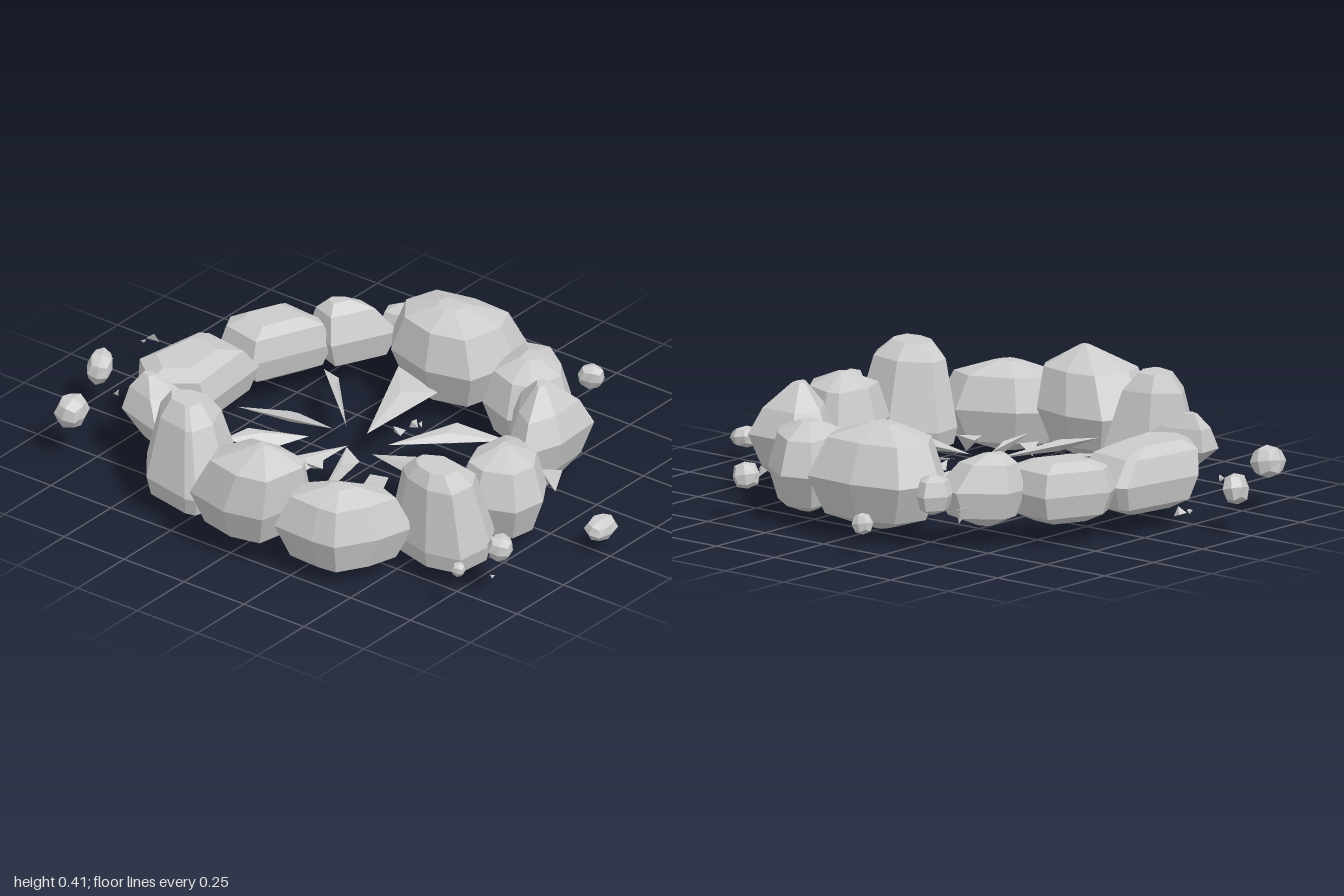
import * as THREE from 'three';
import { ConvexGeometry } from 'three/addons/geometries/ConvexGeometry.js';

const material = new THREE.MeshStandardMaterial({ color: 0xcccccc, flatShading: true, side: THREE.DoubleSide });

function addHull(group, name, points) {
  const mesh = new THREE.Mesh(new ConvexGeometry(points), material);
  mesh.name = name;
  group.add(mesh);
}

// Boulder: plan outline [x, z, x, z, ...] at its widest height, narrowing to a shoulder and cap above and below
function boulder(group, outline, yMin, yMax, o = {}) {
  const { mid = (yMin + yMax) / 2, top = [0.76, 0.2], bottom = [0.76, 0.2], lift = 0.74 } = o;
  const n = outline.length / 2;
  let cx = 0, cz = 0;
  for (let i = 0; i < n; i++) { cx += outline[2 * i] / n; cz += outline[2 * i + 1] / n; }
  const [px, pz] = o.peak ?? [cx, cz];
  const [fx, fz] = o.foot ?? [cx, cz];
  const points = [];
  const ring = (scale, y, x, z) => {
    for (let i = 0; i < n; i++) {
      points.push(new THREE.Vector3(x + (outline[2 * i] - cx) * scale, y, z + (outline[2 * i + 1] - cz) * scale));
    }
  };
  const lerp = THREE.MathUtils.lerp;
  ring(1, mid, cx, cz);
  ring(top[0], lerp(mid, yMax, lift), lerp(cx, px, 0.6), lerp(cz, pz, 0.6));
  ring(top[1], yMax, px, pz);
  ring(bottom[0], lerp(mid, yMin, lift), lerp(cx, fx, 0.6), lerp(cz, fz, 0.6));
  ring(bottom[1], yMin, fx, fz);
  addHull(group, 'boulder', points);
}

// Pebble: a cube with split faces, rounded towards a ball and stretched
function pebble(group, x, y, z, rx, ry, rz, yaw) {
  const geometry = new THREE.BoxGeometry(2, 2, 2, 2, 2, 2).toNonIndexed();
  const p = geometry.attributes.position;
  const v = new THREE.Vector3();
  for (let i = 0; i < p.count; i++) {
    v.fromBufferAttribute(p, i);
    v.multiplyScalar([1, 1, 0.78, 0.6][Math.round(v.lengthSq())]);
    p.setXYZ(i, v.x * rx, v.y * ry, v.z * rz);
  }
  geometry.computeVertexNormals();
  const mesh = new THREE.Mesh(geometry, material);
  mesh.name = 'pebble';
  mesh.position.set(x, y, z);
  mesh.rotation.set(0.2, yaw, 0.15);
  group.add(mesh);
}

export function createModel() {
  const model = new THREE.Group();
  model.name = 'rockRing';
  const ring = new THREE.Group();
  ring.name = 'boulderRing';
  const spikes = new THREE.Group();
  spikes.name = 'innerSpikes';
  const debris = new THREE.Group();
  debris.name = 'debris';
  model.add(ring, spikes, debris);

  // Ring, clockwise in plan from the +x side
  boulder(ring, [.51, -.30, .66, -.25, .70, -.07, .69, .12, .56, .18, .37, .13, .33, -.03, .38, -.21], .03, .375, { peak: [.5, -.05] });
  boulder(ring, [.28, .35, .33, .21, .46, .17, .62, .16, .65, .27, .56, .40, .47, .47, .31, .43], .02, .32);
  boulder(ring, [.06, .59, .13, .48, .29, .37, .39, .44, .39, .63, .20, .64], 0, .38,
    { mid: .21, top: [.72, .16], bottom: [.74, .14], peak: [.25, .52], lift: .52 });
  boulder(ring, [-.26, .64, -.23, .54, -.10, .49, .06, .52, .07, .58, .02, .72, -.09, .79, -.21, .77], .01, .335,
    { top: [.76, .12], bottom: [.72, .1] });
  boulder(ring, [-.53, .64, -.49, .49, -.42, .41, -.31, .40, -.23, .55, -.26, .72, -.36, .78, -.50, .765], .05, .39,
    { mid: .12, top: [.7, .4], bottom: [.92, .75], peak: [-.42, .6], lift: .82 });
  boulder(ring, [-.77, .35, -.76, .19, -.63, .155, -.53, .25, -.445, .44, -.49, .56, -.63, .52, -.76, .44], .02, .32);
  boulder(ring, [-.83, .03, -.79, -.14, -.68, -.18, -.53, -.12, -.51, .02, -.54, .17, -.60, .21, -.80, .17], .03, .405,
    { mid: .2, top: [.78, .08], peak: [-.68, .08], lift: .66 });
  boulder(ring, [-.74, -.20, -.70, -.39, -.57, -.49, -.465, -.37, -.435, -.20, -.60, -.125, -.73, -.16], .05, .395,
    { mid: .13, top: [.64, .36], bottom: [.9, .6], peak: [-.57, -.32], lift: .78 });
  boulder(ring, [-.545, -.47, -.48, -.665, -.39, -.67, -.335, -.51, -.34, -.42, -.41, -.385], .08, .325,
    { top: [.6, .16], bottom: [.6, .12], peak: [-.41, -.6], foot: [-.46, -.46], lift: .6 });
  boulder(ring, [-.36, -.63, -.235, -.785, .07, -.735, .09, -.70, .06, -.51, -.25, -.485], .065, .285,
    { top: [.86, .5], bottom: [.84, .5], peak: [-.17, -.64] });
  boulder(ring, [.05, -.53, .085, -.70, .15, -.73, .365, -.63, .35, -.46, .32, -.41], .075, .28,
    { top: [.86, .5], bottom: [.84, .5] });
  boulder(ring, [.29, -.39, .34, -.525, .43, -.525, .535, -.39, .51, -.28], .07, .31,
    { top: [.65, .25], peak: [.39, -.44] });
  boulder(ring, [.51, -.36, .57, -.385, .64, -.34, .63, -.30, .58, -.26, .525, -.28], .12, .25);

  // Thin spikes around the centre: corners x, y, z, thickened slightly at the middle
  const spikeCorners = [
    [[-.06, .13, -.11], [-.15, .14, -.44], [-.06, .14, -.25]],
    [[-.15, .13, -.14], [-.37, .15, -.33], [-.27, .16, -.30], [-.28, .12, -.20]],
    [[-.12, .13, 0], [-.48, .16, -.15], [-.56, .12, -.02]],
    [[-.49, .13, .155], [-.16, .15, .025], [-.155, .11, .075]],
    [[-.12, .13, .10], [-.19, .13, .46], [-.07, .15, .25]],
    [[-.04, .13, .10], [.23, .13, .40], [.18, .16, .22], [.09, .12, .22]],
    [[-.02, .13, 0], [.38, .15, -.18], [.36, .12, 0]],
    [[-.02, .13, -.085], [.20, .16, -.35], [.24, .12, -.32]],
  ];
  for (const corners of spikeCorners) {
    const points = corners.map((c) => new THREE.Vector3(...c));
    const middle = new THREE.Vector3();
    points.forEach((p) => middle.addScaledVector(p, 1 / points.length));
    points.push(middle.clone().setY(middle.y + .02), middle.clone().setY(middle.y - .02));
    addHull(spikes, 'spike', points);
  }

  // Loose pebbles outside the ring
  pebble(debris, .80, .11, -.21, .03, .036, .036, .2);
  pebble(debris, .695, .165, .38, .033, .045, .045, .6);
  pebble(debris, .015, .085, .95, .058, .036, .045, -.1);
  pebble(debris, -.455, .195, .895, .045, .043, .043, .5);
  pebble(debris, -.615, .165, .845, .023, .024, .023, .4);
  pebble(debris, -.548, .17, -.82, .06, .055, .052, .1);
  pebble(debris, -.23, .155, -.95, .064, .052, .043, .5);

  // Splinters: x, y, z, size
  const splinters = [
    [.115, .13, .665, .055], [-.27, .13, .23, .055], [-.30, .14, .005, .045], [.53, .13, -.41, .045],
    [.06, .13, .07, .03], [.13, .13, .08, .022], [.14, .13, .10, .014], [-.545, .14, .935, .012],
    [.51, .12, .50, .025], [.46, .12, .51, .022], [.52, .12, .48, .018],
    [-.33, .15, -.80, .016], [.07, .13, -.96, .028], [.03, .13, -.97, .012],
  ];
  splinters.forEach(([x, y, z, s], i) => {
    const mesh = new THREE.Mesh(new THREE.TetrahedronGeometry(s), material);
    mesh.name = 'splinter';
    mesh.position.set(x, y, z);
    mesh.scale.set(.6, 1, 1);
    mesh.rotation.set(i * 1.3, i * 2.1, i * .7);
    debris.add(mesh);
  });
  return model;
}
